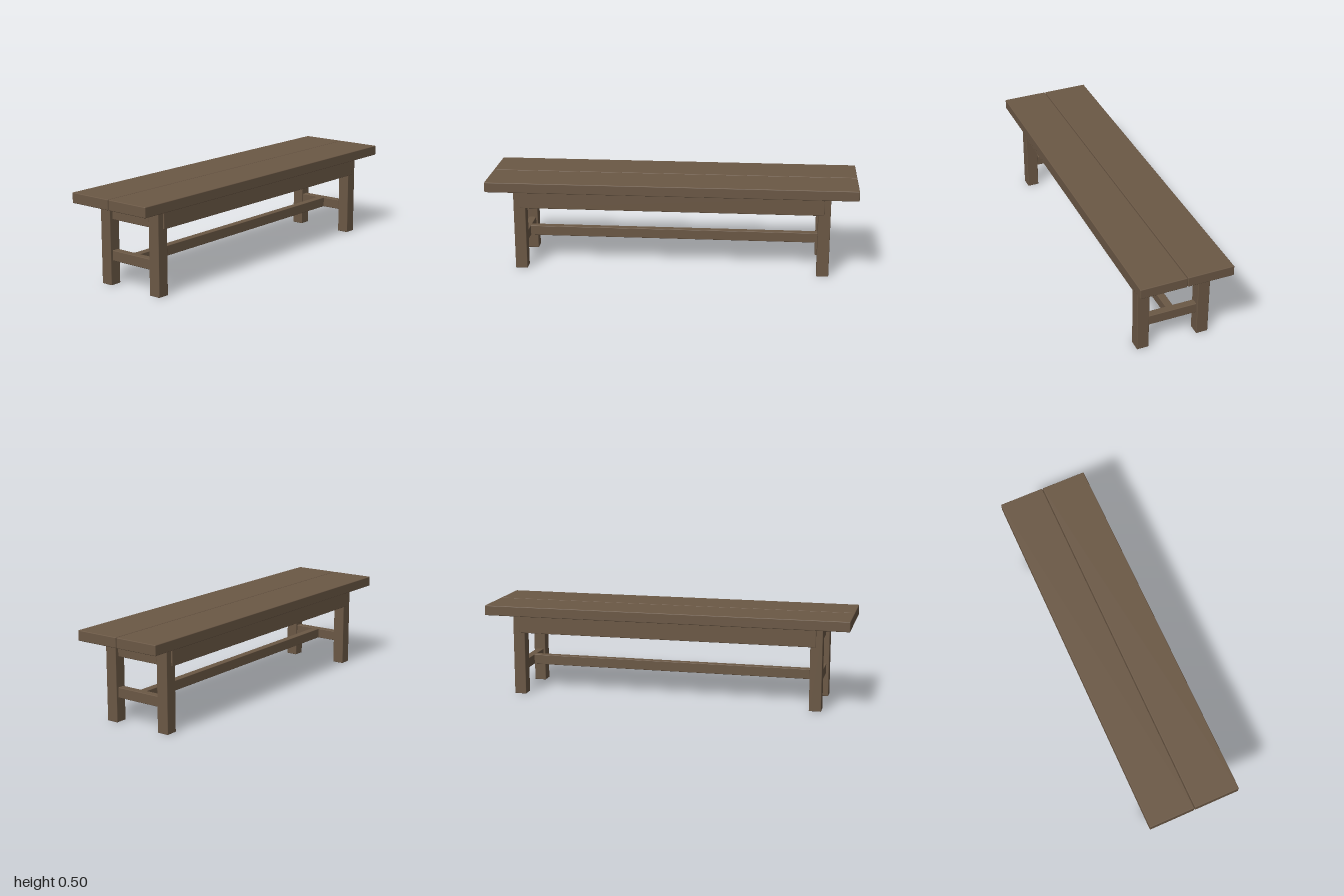
import * as THREE from 'three';
import { RoundedBoxGeometry } from 'three/addons/geometries/RoundedBoxGeometry.js';

export function createModel() {
  const bench = new THREE.Group();
  bench.name = 'bench';
  const wood = new THREE.MeshStandardMaterial({ color: 0x6b5845 });

  // A timber with slightly eased edges, given by its size and centre
  function timber(name, [w, h, d], [x, y, z], radius = 0.003) {
    const mesh = new THREE.Mesh(new RoundedBoxGeometry(w, h, d, 2, radius), wood);
    mesh.name = name;
    mesh.position.set(x, y, z);
    bench.add(mesh);
  }

  for (const s of [-1, 1]) {
    const side = s > 0 ? 'front' : 'back';
    const end = s > 0 ? 'left' : 'right';

    // Seat planks with a narrow gap between them
    timber(side + 'SeatPlank', [2, 0.055, 0.249], [0, 0.4735, s * 0.1265], 0.004);

    // Long aprons, standing slightly proud of the legs
    timber(side + 'Apron', [1.64, 0.1, 0.03], [0, 0.397, s * 0.191]);

    // End aprons and end stretchers between the legs
    timber(end + 'EndApron', [0.03, 0.1, 0.29], [s * 0.82, 0.397, 0]);
    timber(end + 'EndStretcher', [0.04, 0.055, 0.29], [s * 0.82, 0.157, 0]);

    // Legs
    for (const e of [-1, 1]) {
      const legName = side + (e > 0 ? 'Left' : 'Right') + 'Leg';
      timber(legName, [0.065, 0.447, 0.065], [e * 0.8225, 0.2235, s * 0.167]);
    }
  }

  // Long stretcher joining the two end stretchers
  timber('longStretcher', [1.62, 0.055, 0.04], [0, 0.157, 0]);

  return bench;
}
